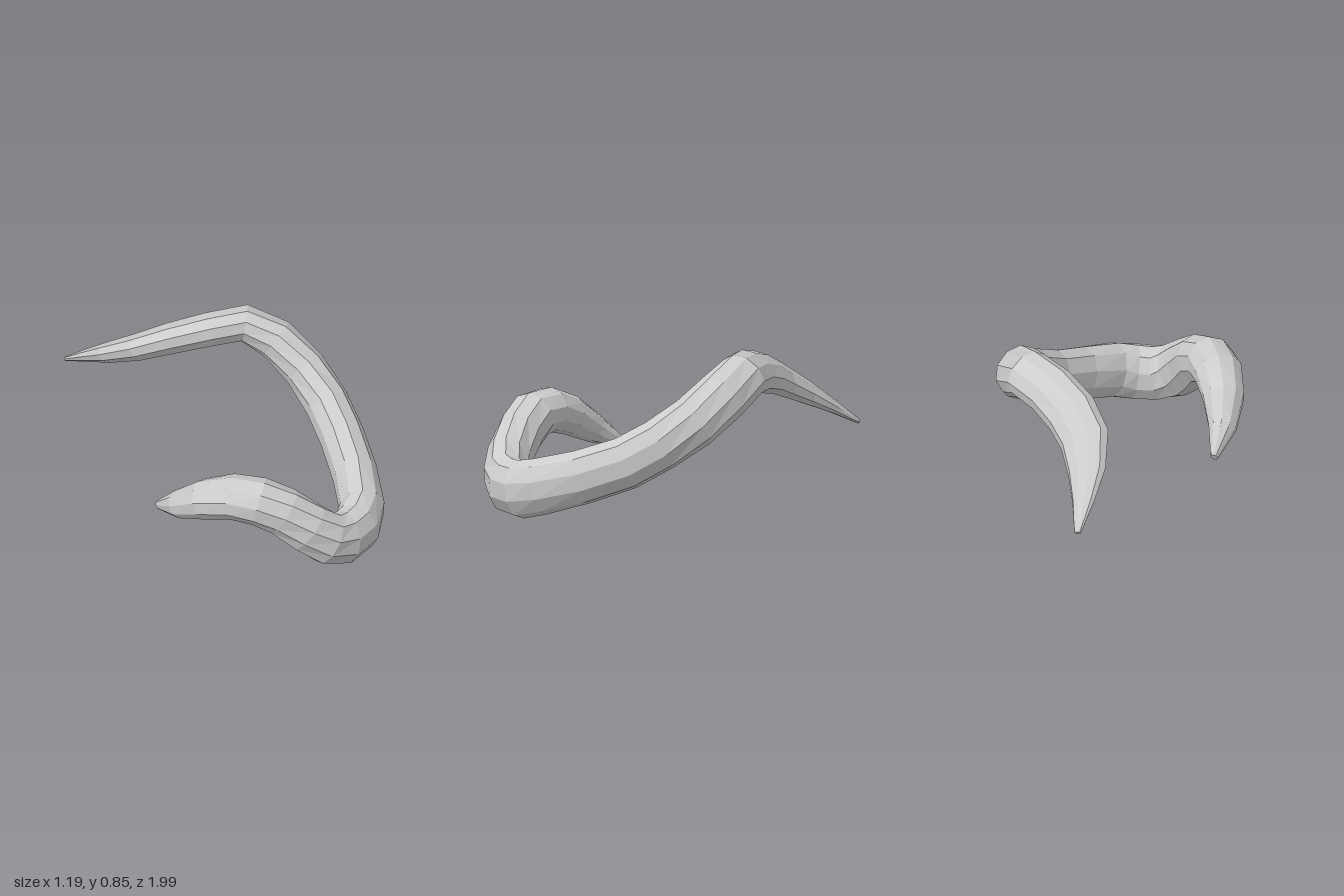
import * as THREE from 'three';

const SIDES = 10;

// Centre line stations: x, y, z, half-width along the section, half-thickness across it
const STATIONS = [
  [-0.585, 0.305, -0.99, 0.018, 0.012],
  [-0.52, 0.405, -0.85, 0.062, 0.034],
  [-0.442, 0.5, -0.71, 0.106, 0.058],
  [-0.33, 0.595, -0.575, 0.137, 0.076],
  [-0.18, 0.667, -0.49, 0.142, 0.088],
  [0.0, 0.715, -0.425, 0.138, 0.095],
  [0.18, 0.735, -0.382, 0.134, 0.102],
  [0.32, 0.66, -0.275, 0.142, 0.112],
  [0.42, 0.54, -0.12, 0.143, 0.114],
  [0.467, 0.427, 0.06, 0.143, 0.116],
  [0.478, 0.33, 0.24, 0.145, 0.117],
  [0.455, 0.25, 0.47, 0.148, 0.119],
  [0.405, 0.187, 0.69, 0.153, 0.122],
  [0.335, 0.155, 0.79, 0.156, 0.124],
  [0.235, 0.152, 0.85, 0.154, 0.122],
  [0.135, 0.19, 0.872, 0.147, 0.121],
  [0.03, 0.273, 0.848, 0.142, 0.121],
  [-0.085, 0.37, 0.79, 0.134, 0.125],
  [-0.2, 0.428, 0.73, 0.13, 0.13],
  [-0.315, 0.434, 0.645, 0.119, 0.13],
  [-0.43, 0.376, 0.535, 0.107, 0.114],
  [-0.52, 0.278, 0.4, 0.076, 0.076],
  [-0.575, 0.187, 0.25, 0.024, 0.02],
];

// Direction of the thin side of the section at chosen stations: index, x, y, z
const THIN_SIDE = [
  [0, 0, -0.78, 0.62],
  [6, 0, -0.78, 0.62],
  [9, -1, 0, 0],
  [11, -1, 0, 0],
  [15, 0, 0, -1],
  [18, 0.7, 0, -0.7],
  [22, 0.9, 0, -0.4],
];

function thinSideAt(i) {
  let k = 0;
  while (k < THIN_SIDE.length - 2 && THIN_SIDE[k + 1][0] <= i) k++;
  const [i0, ...a] = THIN_SIDE[k];
  const [i1, ...b] = THIN_SIDE[k + 1];
  return new THREE.Vector3(...a).lerp(new THREE.Vector3(...b), (i - i0) / (i1 - i0));
}

// Loft elliptical sections along the stations and close both tips
function bodyGeometry() {
  const centres = STATIONS.map(([x, y, z]) => new THREE.Vector3(x, y, z));
  const last = centres.length - 1;
  const positions = [];
  const index = [];
  const at = (i, j) => i * SIDES + (j % SIDES);

  centres.forEach((c, i) => {
    const tangent = centres[Math.min(i + 1, last)].clone()
      .sub(centres[Math.max(i - 1, 0)]).normalize();
    const wide = thinSideAt(i).cross(tangent).normalize();
    const thin = tangent.clone().cross(wide);
    const [, , , a, b] = STATIONS[i];
    for (let j = 0; j < SIDES; j++) {
      const t = (j / SIDES) * Math.PI * 2;
      const p = c.clone()
        .addScaledVector(wide, a * Math.cos(t))
        .addScaledVector(thin, b * Math.sin(t));
      positions.push(p.x, p.y, p.z);
    }
  });

  for (let i = 0; i < last; i++) {
    for (let j = 0; j < SIDES; j++) {
      index.push(at(i, j), at(i, j + 1), at(i + 1, j));
      index.push(at(i, j + 1), at(i + 1, j + 1), at(i + 1, j));
    }
  }

  // Tip caps
  const first = positions.length / 3;
  positions.push(...centres[0].toArray(), ...centres[last].toArray());
  for (let j = 0; j < SIDES; j++) {
    index.push(first, at(0, j + 1), at(0, j));
    index.push(first + 1, at(last, j), at(last, j + 1));
  }

  const geometry = new THREE.BufferGeometry();
  geometry.setAttribute('position', new THREE.Float32BufferAttribute(positions, 3));
  geometry.setIndex(index);
  geometry.computeVertexNormals();

  // Centre in plan and stand on the ground
  geometry.computeBoundingBox();
  const mid = geometry.boundingBox.getCenter(new THREE.Vector3());
  return geometry.translate(-mid.x, -geometry.boundingBox.min.y, -mid.z);
}

export function createModel() {
  const group = new THREE.Group();
  const material = new THREE.MeshStandardMaterial({ color: 0xcccccc, flatShading: true });
  const body = new THREE.Mesh(bodyGeometry(), material);
  body.name = 'curledTaperedBody';
  group.add(body);
  return group;
}
